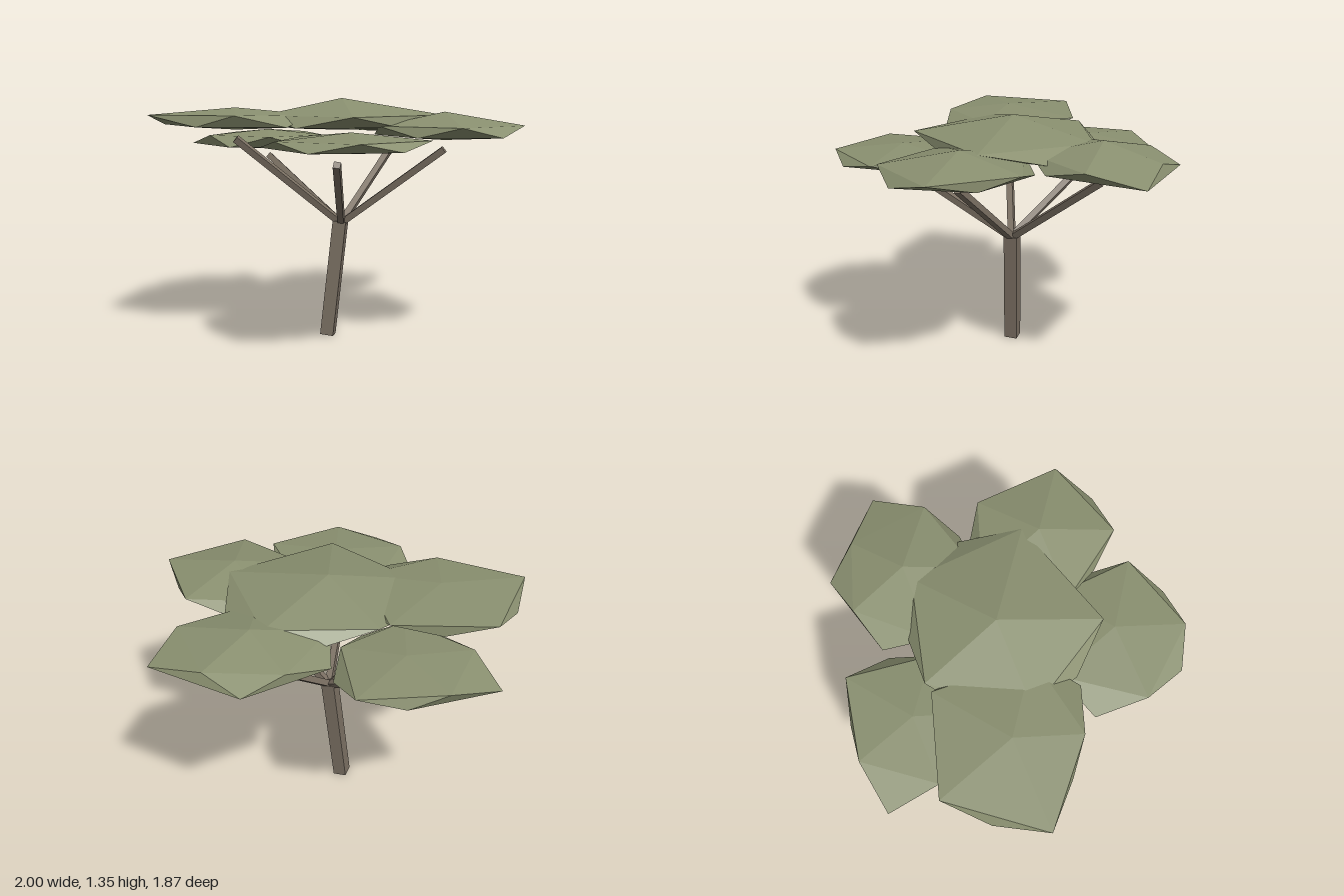
import * as THREE from 'three';
import { ConvexGeometry } from 'three/addons/geometries/ConvexGeometry.js';

const foliage = new THREE.MeshStandardMaterial({ color: 0x8a9070, flatShading: true });
foliage.name = 'foliage';
const bark = new THREE.MeshStandardMaterial({ color: 0x7b7063, flatShading: true });
bark.name = 'bark';

// Square beam running between two points
function beam(name, from, to, width) {
  const a = new THREE.Vector3(...from);
  const b = new THREE.Vector3(...to);
  const dir = b.clone().sub(a);
  const mesh = new THREE.Mesh(new THREE.BoxGeometry(width, dir.length(), width), bark);
  mesh.position.copy(a).add(b).multiplyScalar(0.5);
  mesh.quaternion.setFromUnitVectors(new THREE.Vector3(0, 1, 0), dir.normalize());
  mesh.name = name;
  return mesh;
}

// Five-sided ring with uneven radii; positive angles turn from +x towards +z
function ring(x, y, z, startDegrees, radii) {
  return radii.map((r, i) => {
    const angle = THREE.MathUtils.degToRad(startDegrees + i * 72);
    return new THREE.Vector3(x + r * Math.cos(angle), y, z + r * Math.sin(angle));
  });
}

// Flattened twenty-sided pad: apex, two staggered rings and a shallow underside
function pad(name, [x, top, z], upperY, lowerY, upperRadii, lowerRadii) {
  const mesh = new THREE.Mesh(new ConvexGeometry([
    new THREE.Vector3(x, top, z),
    ...ring(x, upperY, z, 0, upperRadii),
    ...ring(x, lowerY, z, 36, lowerRadii),
    new THREE.Vector3(x, lowerY - 0.025, z),
  ]), foliage);
  mesh.name = name;
  return mesh;
}

export function createModel() {
  const tree = new THREE.Group();
  tree.name = 'tree';

  // Leaning trunk
  tree.add(beam('trunk', [-0.075, 0.005, 0.01], [-0.005, 0.66, -0.01], 0.075));

  // Branches fanning out to the outer pads
  const fork = [0, 0.65, -0.01];
  tree.add(
    beam('rightBranch', fork, [-0.55, 1.13, 0.19], 0.036),
    beam('backRightBranch', fork, [-0.51, 1.0, -0.32], 0.036),
    beam('frontBranch', fork, [0.1, 1.03, 0.57], 0.036),
    beam('backBranch', fork, [0.22, 1.08, -0.56], 0.036),
    beam('leftBranch', fork, [0.58, 1.08, 0.08], 0.036),
  );

  // Overlapping foliage pads
  tree.add(
    pad('centreCanopy', [0, 1.35, -0.02], 1.26, 1.2,
      [0.57, 0.54, 0.47, 0.46, 0.51], [0.46, 0.47, 0.45, 0.45, 0.55]),
    pad('rightCanopy', [-0.55, 1.3, 0.19], 1.265, 1.205,
      [0.43, 0.35, 0.48, 0.45, 0.46], [0.45, 0.34, 0.41, 0.37, 0.42]),
    pad('leftCanopy', [0.58, 1.28, 0.07], 1.21, 1.155,
      [0.42, 0.4, 0.39, 0.39, 0.38], [0.39, 0.34, 0.38, 0.37, 0.32]),
    pad('backCanopy', [0.2, 1.29, -0.56], 1.22, 1.165,
      [0.4, 0.37, 0.4, 0.33, 0.33], [0.37, 0.38, 0.42, 0.39, 0.5]),
    pad('backRightCanopy', [-0.52, 1.16, -0.32], 1.13, 1.07,
      [0.34, 0.36, 0.36, 0.34, 0.41], [0.38, 0.38, 0.48, 0.32, 0.37]),
    pad('frontCanopy', [0.17, 1.19, 0.56], 1.155, 1.11,
      [0.4, 0.37, 0.4, 0.39, 0.36], [0.36, 0.4, 0.47, 0.39, 0.36]),
  );
  return tree;
}
